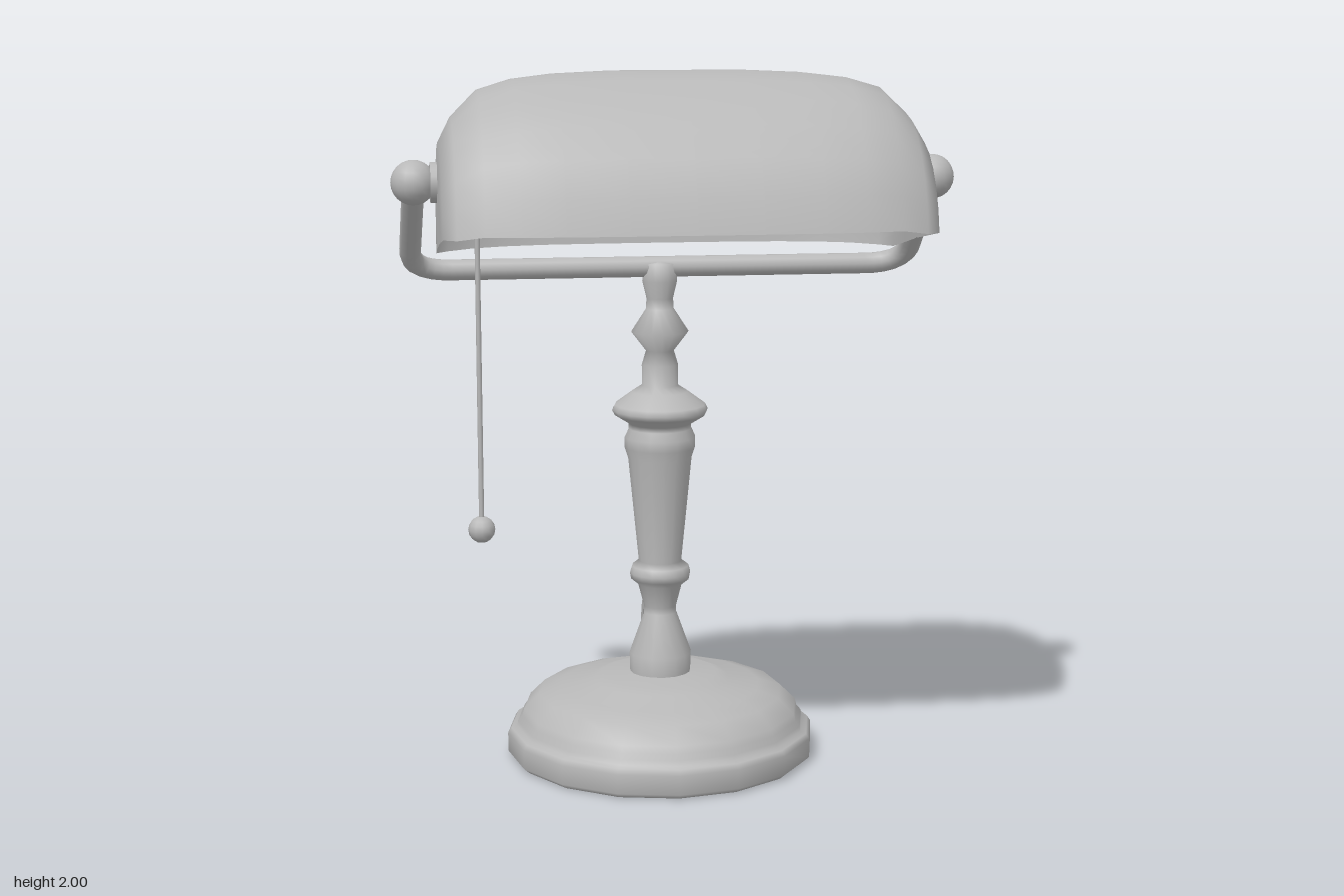
import * as THREE from 'three';

const ARC = 14;
const V = (x, y, z) => new THREE.Vector3(x, y, z);

// Tilted shade cross-section from front lip to back lip, as [z, y];
// shrink draws it in towards the middle of the opening to close the ends
function section(front, back, top, shrink = 1) {
  const pts = [], midZ = (front + back) / 2, midY = 1.555;
  const height = (top - midY) * 1.01, frontY = front > 0.76 ? 1.612 : 1.6;
  for (let i = 0; i <= ARC; i++) {
    const a = (i / ARC) * Math.PI, c = Math.cos(a);
    const t = (1 - Math.sign(c) * Math.pow(Math.abs(c), 0.9)) / 2;
    const rise = height * Math.sin(a);
    const z = front + (back - front) * t - 0.182 * rise;
    const y = frontY + (1.5 - frontY) * t + 0.983 * rise;
    pts.push([midZ + (z - midZ) * shrink, midY + (y - midY) * shrink]);
  }
  return pts;
}

export function createModel() {
  const model = new THREE.Group();
  model.name = 'deskLamp';
  const lamp = new THREE.Group();
  lamp.name = 'lamp';
  lamp.position.set(0.2, 0, -0.26);
  lamp.rotation.y = -0.663;
  model.add(lamp);

  const grey = new THREE.MeshStandardMaterial({ color: 0xb8b8b8, side: THREE.DoubleSide });
  grey.name = 'plain grey';

  const add = (name, geo, x = 0, y = 0, z = 0) => {
    const mesh = new THREE.Mesh(geo, grey);
    mesh.name = name;
    mesh.position.set(x, y, z);
    lamp.add(mesh);
  };
  const lathe = (name, profile) => add(name,
    new THREE.LatheGeometry(profile.map(([r, y]) => new THREE.Vector2(r, y)), 16));

  // Foot and turned column
  lathe('base', [[0, 0.005], [0.43, 0], [0.447, 0.015], [0.447, 0.07], [0.437, 0.085], [0.42, 0.09],
    [0.418, 0.105], [0.405, 0.12], [0.4, 0.14], [0.355, 0.185], [0.29, 0.205], [0.2, 0.225],
    [0.165, 0.24], [0, 0.25]]);
  lathe('column', [[0.088, 0.24], [0.09, 0.3], [0.047, 0.42], [0.047, 0.44], [0.064, 0.505],
    [0.085, 0.522], [0.088, 0.54], [0.082, 0.56], [0.062, 0.575], [0.092, 0.88], [0.102, 0.91],
    [0.102, 0.94], [0.09, 0.965], [0.09, 0.98], [0.13, 1.005], [0.138, 1.02], [0.13, 1.035],
    [0.08, 1.072], [0.052, 1.09], [0.052, 1.15], [0.04, 1.19], [0.082, 1.245], [0.04, 1.31],
    [0.038, 1.34], [0.05, 1.39], [0.045, 1.44], [0, 1.45]]);

  // Curled flat hook behind the column
  const curl = new THREE.Shape();
  curl.absarc(0, 0, 0.127, -0.4, Math.PI + 0.35, false);
  curl.absarc(0, 0, 0.087, Math.PI + 0.35, -0.4, true);
  const hook = new THREE.ExtrudeGeometry(curl, { depth: 0.034, bevelEnabled: false, curveSegments: 8 });
  hook.translate(0, 0, -0.017);
  hook.rotateY(Math.PI / 2);
  add('hook', hook, 0, 0.285, -0.215);

  // Bent arm carrying the shade
  const path = new THREE.CurvePath();
  const end = (k) => V(k * 0.697, 1.71, 0.356);
  const bend = (k) => V(k * 0.705, 1.43, 0);
  const up = (k) => bend(k).lerp(end(k), 0.24);
  const along = (k) => V(k * 0.59, 1.43, 0);
  path.add(new THREE.LineCurve3(end(-1), up(-1)));
  path.add(new THREE.QuadraticBezierCurve3(up(-1), bend(-1), along(-1)));
  path.add(new THREE.LineCurve3(along(-1), along(1)));
  path.add(new THREE.QuadraticBezierCurve3(along(1), bend(1), up(1)));
  path.add(new THREE.LineCurve3(up(1), end(1)));
  add('arm', new THREE.TubeGeometry(path, 80, 0.03, 10));

  // Pivot balls, washers and pins at both ends
  for (const k of [-1, 1]) {
    add('pivotBall', new THREE.SphereGeometry(0.06, 16, 12), k * 0.697, 1.71, 0.356);
    const washer = new THREE.CylinderGeometry(0.054, 0.054, 0.018, 16);
    washer.rotateZ(Math.PI / 2);
    add('pivotWasher', washer, k * 0.644, 1.71, 0.356);
    const pin = new THREE.CylinderGeometry(0.025, 0.025, 0.06, 10);
    pin.rotateZ(Math.PI / 2);
    add('pivotPin', pin, k * 0.66, 1.71, 0.356);
  }

  // Shade lofted through sections [x, front z, back z, top y, shrink],
  // the last ones closing the half-moon ends
  const half = [[0.17, 0.805, 0.022, 2.0], [0.33, 0.802, 0.03, 1.993], [0.44, 0.793, 0.05, 1.98],
    [0.53, 0.778, 0.085, 1.953], [0.6, 0.745, 0.14, 1.89], [0.634, 0.722, 0.18, 1.825],
    [0.636, 0.722, 0.18, 1.825, 0.5], [0.636, 0.722, 0.18, 1.825, 0.01]];
  const stations = [...half.map(([x, ...r]) => [-x, ...r]).reverse(), [0, 0.806, 0.02, 2.0], ...half];
  const pos = [], index = [], n = ARC + 1;
  stations.forEach(([x, ...shape], i) => {
    for (const [z, y] of section(...shape)) pos.push(x, y, z);
    if (i === 0) return;
    for (let j = 0; j < ARC; j++) {
      const p = (i - 1) * n + j, q = i * n + j;
      index.push(p, q, p + 1, q, q + 1, p + 1);
    }
  });
  const shell = new THREE.BufferGeometry();
  shell.setAttribute('position', new THREE.Float32BufferAttribute(pos, 3));
  shell.setIndex(index);
  shell.computeVertexNormals();
  add('shade', shell);

  // Pull chain
  add('pullChain', new THREE.CylinderGeometry(0.007, 0.007, 1.06, 8), -0.53, 1.29, 0.327);
  add('pullBall', new THREE.SphereGeometry(0.037, 12, 8), -0.53, 0.76, 0.327);

  return model;
}
